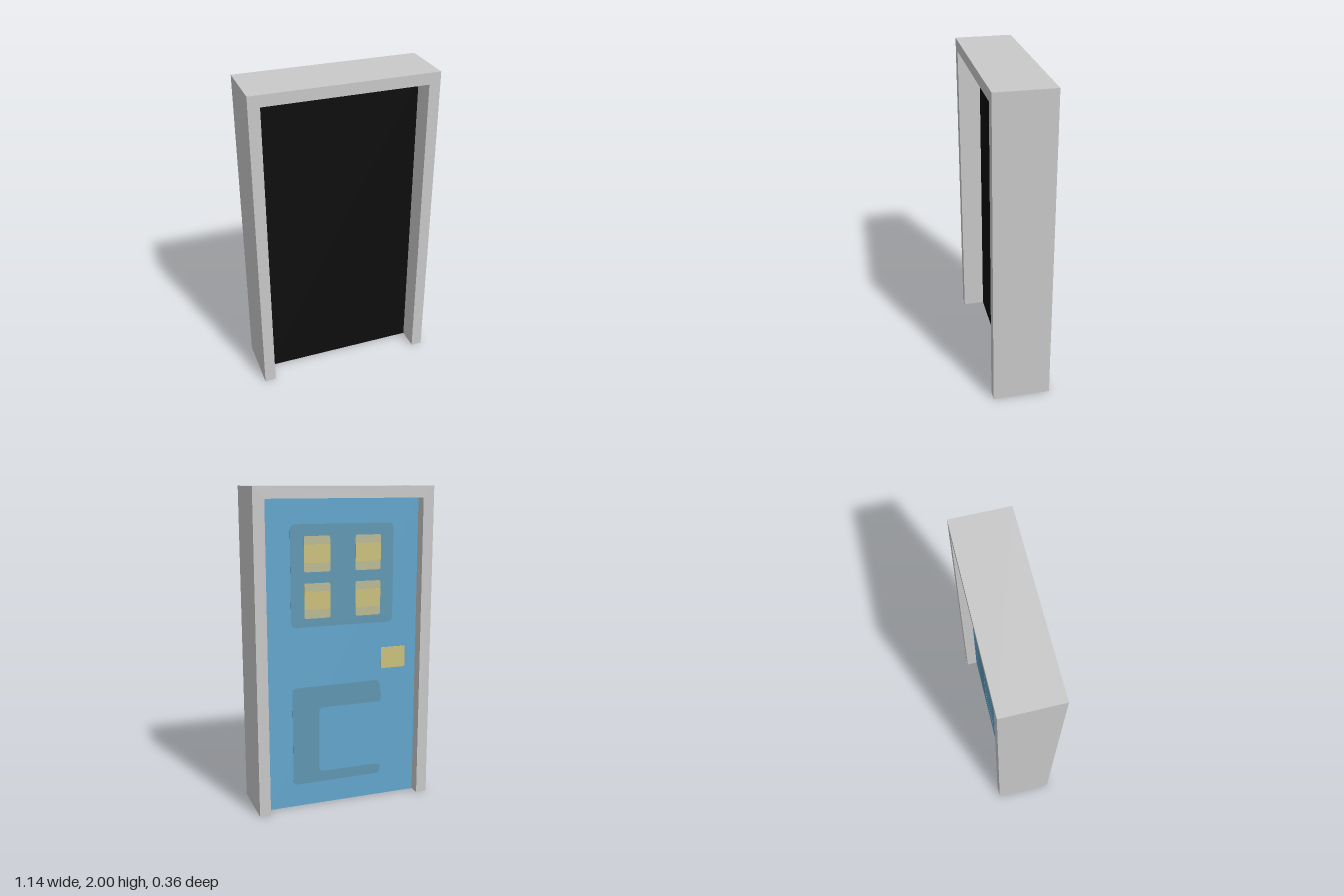
import * as THREE from 'three';

const mat = (name, color, extra = {}) => {
  const m = new THREE.MeshStandardMaterial({ color, ...extra });
  m.name = name;
  return m;
};

// Rectangle with rounded corners, given by its limits
function roundedRect(x0, x1, y0, y1, r) {
  const s = new THREE.Shape();
  s.moveTo(x0 + r, y0);
  s.lineTo(x1 - r, y0).quadraticCurveTo(x1, y0, x1, y0 + r);
  s.lineTo(x1, y1 - r).quadraticCurveTo(x1, y1, x1 - r, y1);
  s.lineTo(x0 + r, y1).quadraticCurveTo(x0, y1, x0, y1 - r);
  s.lineTo(x0, y0 + r).quadraticCurveTo(x0, y0, x0 + r, y0);
  return s;
}

// Polygon with every corner softened by radius r
function softPolygon(points, r) {
  const s = new THREE.Shape();
  const v = points.map(([x, y]) => new THREE.Vector2(x, y));
  v.forEach((p, i) => {
    const towards = (q) => p.clone().add(q.clone().sub(p).setLength(r));
    const a = towards(v[(i + v.length - 1) % v.length]);
    const b = towards(v[(i + 1) % v.length]);
    if (i === 0) s.moveTo(a.x, a.y);
    else s.lineTo(a.x, a.y);
    s.quadraticCurveTo(p.x, p.y, b.x, b.y);
  });
  s.closePath();
  return s;
}

export function createModel() {
  const model = new THREE.Group();
  model.name = 'door';

  const grey = mat('frame grey', 0xc9c9c9);
  const black = mat('doorway black', 0x0d0d0d);
  const blue = mat('door blue', 0x62a6ce);
  const slate = mat('door underside slate', 0x4c5764);
  const panelBlue = mat('panel blue', 0x5f97b2);
  const yellow = mat('window yellow', 0xccc17c);
  const paleYellow = mat('window pale yellow', 0xbbba94);

  const W = 0.57, IN = 0.5, TOP = 1.93, DEPTH = 0.36;
  const BACK = -0.11, FRONT = 0.04;

  const add = (name, geometry, material, z = 0, parent = model) => {
    const mesh = new THREE.Mesh(geometry, material);
    mesh.name = name;
    mesh.position.z = z;
    parent.add(mesh);
    return mesh;
  };

  // Frame: two jambs and a lintel in one outline
  const outline = new THREE.Shape([
    [-W, 0], [-IN, 0], [-IN, TOP], [IN, TOP], [IN, 0], [W, 0], [W, 2], [-W, 2],
  ].map(([x, y]) => new THREE.Vector2(x, y)));
  add('frame', new THREE.ExtrudeGeometry(outline, { depth: DEPTH, bevelEnabled: false }), grey, -DEPTH / 2);

  // Door leaf: black towards the front, blue at the back
  const leaf = new THREE.BoxGeometry(IN * 2, TOP, FRONT - BACK);
  leaf.translate(0, TOP / 2, (FRONT + BACK) / 2);
  add('doorLeaf', leaf, [blue, blue, blue, slate, black, blue]);

  // Thin painted plates on the back of the leaf
  const plate = (name, shape, material, lift, parent) => {
    const g = new THREE.ExtrudeGeometry(shape, { depth: lift, bevelEnabled: false, curveSegments: 6 });
    add(name, g, material, BACK - lift, parent);
  };

  plate('upperPanel', roundedRect(-0.333, 0.333, 1.16, 1.78, 0.04), panelBlue, 0.002);

  // Lower panel, open on the handle side
  plate('lowerPanel', softPolygon([
    [0.33, 0.145], [0.33, 0.78], [-0.25, 0.785], [-0.268, 0.64],
    [0.156, 0.64], [0.156, 0.215], [-0.262, 0.215], [-0.262, 0.148],
  ], 0.03), panelBlue, 0.002);

  // Four windows, each with a bright middle band
  for (const side of [1, -1]) {
    for (const y of [1.212, 1.495]) {
      const pane = new THREE.Group();
      pane.name = 'window';
      model.add(pane);
      const a = side * 0.165 - 0.083, b = side * 0.165 + 0.083;
      plate('windowPane', roundedRect(a, b, y, y + 0.215, 0.012), paleYellow, 0.004, pane);
      plate('windowBand', roundedRect(a, b, y + 0.055, y + 0.165, 0.003), yellow, 0.006, pane);
    }
  }

  // Handle plate
  plate('handlePlate', roundedRect(-0.425, -0.26, 0.86, 0.996, 0.008), yellow, 0.004);

  return model;
}
